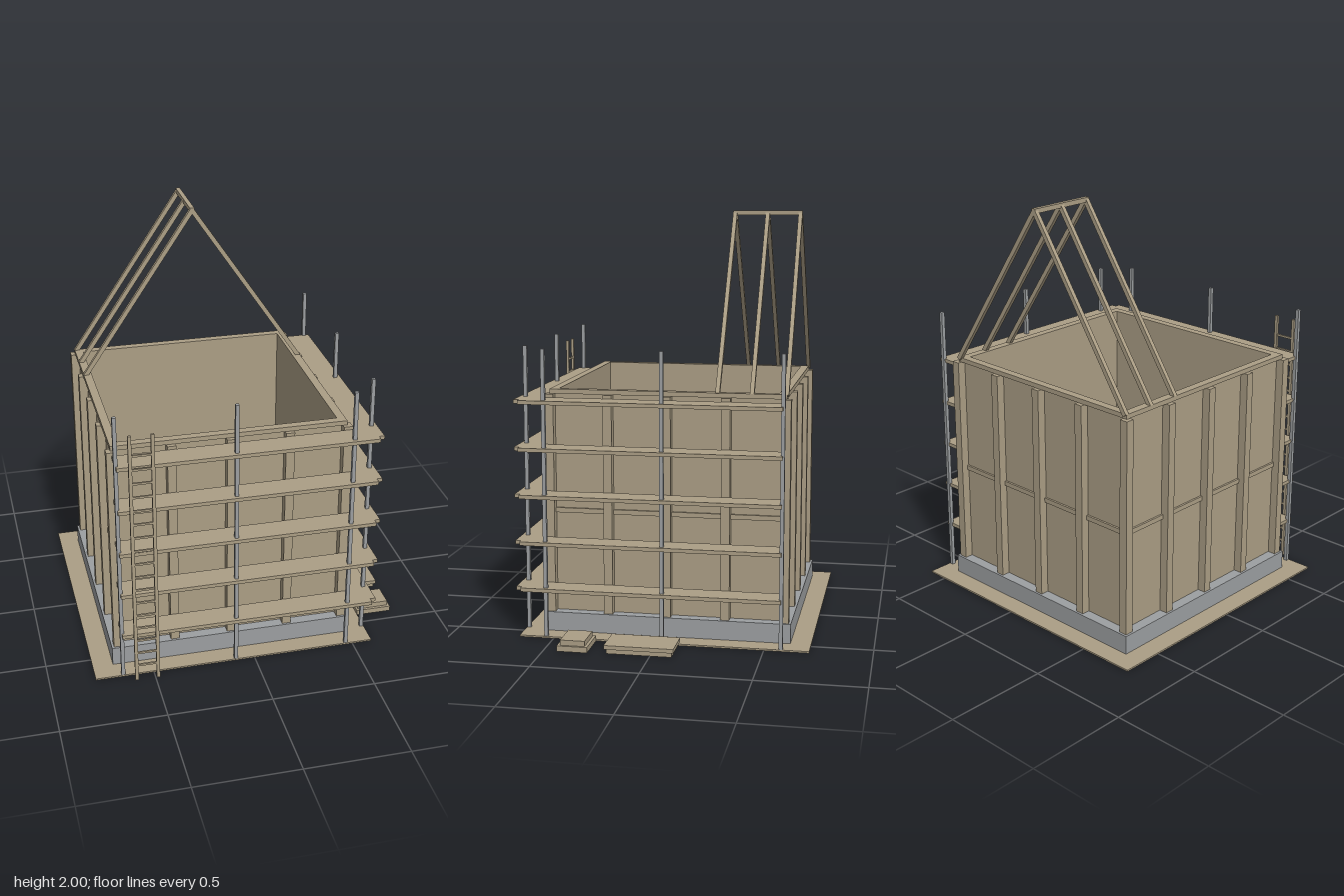
import * as THREE from 'three';

const timber = new THREE.MeshStandardMaterial({ color: 0xab9e85 });
timber.name = 'timber';
const metal = new THREE.MeshStandardMaterial({ color: 0x9c9fa1 });
metal.name = 'concrete and steel grey';

// Centre of the house plan
const CX = -0.092, CZ = -0.022;

function part(parent, name) {
  const g = new THREE.Group();
  g.name = name;
  parent.add(g);
  return g;
}

// Box given by its lower and upper limits on each axis
function box(parent, name, mat, x0, x1, y0, y1, z0, z1) {
  const m = new THREE.Mesh(new THREE.BoxGeometry(x1 - x0, y1 - y0, z1 - z0), mat);
  m.position.set((x0 + x1) / 2, (y0 + y1) / 2, (z0 + z1) / 2);
  m.name = name;
  parent.add(m);
  return m;
}

// Square ring around the house centre, from half-size 'inner' to 'outer'
function ring(parent, name, mat, outer, inner, y0, y1) {
  const square = (P, h) => new P([[-h, -h], [h, -h], [h, h], [-h, h]].map(p => new THREE.Vector2(...p)));
  const shape = square(THREE.Shape, outer);
  shape.holes.push(square(THREE.Path, inner));
  const geo = new THREE.ExtrudeGeometry(shape, { depth: y1 - y0, bevelEnabled: false });
  geo.rotateX(-Math.PI / 2);
  const m = new THREE.Mesh(geo, mat);
  m.position.set(CX, y0, CZ);
  m.name = name;
  parent.add(m);
}

export function createModel() {
  const model = new THREE.Group();
  model.name = 'houseUnderConstruction';

  // Ground slab and foundation
  box(model, 'groundSlab', timber, CX - 0.69, CX + 0.69, 0, 0.008, CZ - 0.688, CZ + 0.688);
  ring(model, 'foundation', metal, 0.592, 0.52, 0.002, 0.1);

  // Walls: thin panels, mid rail, top plate and studs
  const walls = part(model, 'walls');
  ring(walls, 'wallPanels', timber, 0.54, 0.52, 0.1, 1.153);
  ring(walls, 'midRail', timber, 0.55, 0.535, 0.58, 0.603);
  ring(walls, 'topPlate', timber, 0.56, 0.52, 1.153, 1.175);
  const S = 0.021;
  for (let i = -2; i <= 2; i++) {
    for (let j = -2; j <= 2; j++) {
      if (Math.abs(i) < 2 && Math.abs(j) < 2) continue;
      const x = CX + i * 0.28, z = CZ + j * 0.28;
      box(walls, 'stud', timber, x - S, x + S, 0.1, 1.153, z - S, z + S);
    }
  }

  // Rafter pairs and ridge beam
  const roof = part(model, 'roofFrame');
  const run = 0.55, rise = 0.815;
  for (const z of [-0.58, -0.42, -0.26]) {
    for (const s of [-1, 1]) {
      const r = new THREE.Mesh(new THREE.BoxGeometry(0.022, Math.hypot(run, rise) + 0.01, 0.02), timber);
      r.position.set(CX + s * run / 2, 1.173 + rise / 2, z);
      r.rotation.z = s * Math.atan2(run, rise);
      r.name = 'rafter';
      roof.add(r);
    }
  }
  box(roof, 'ridgeBeam', timber, CX - 0.011, CX + 0.011, 1.978, 2, -0.59, -0.25);

  // Scaffold: decks on the front and left sides, with upright poles
  const scaffold = part(model, 'scaffold');
  for (let i = 0; i < 5; i++) {
    const y = 0.225 + i * 0.2235;
    box(scaffold, 'frontDeck', timber, -0.648, 0.585, y, y + 0.018, 0.558, 0.682);
    box(scaffold, 'sideDeck', timber, 0.488, 0.612, y, y + 0.018, -0.578, 0.655);
  }
  const poles = [[-0.648, 0.655], [CX, 0.655], [0.466, 0.655], [0.586, 0.537], [0.586, -0.02], [0.586, -0.578]];
  for (const [x, z] of poles) {
    box(scaffold, 'pole', metal, x - 0.009, x + 0.009, 0, 1.377, z - 0.009, z + 0.009);
  }

  // Ladder at the front
  const ladder = part(model, 'ladder');
  for (const x of [-0.59, -0.486]) {
    box(ladder, 'ladderRail', timber, x - 0.008, x + 0.008, 0, 1.302, 0.696, 0.709);
  }
  for (let i = 0; i < 17; i++) {
    const y = 0.082 + i * 0.07;
    box(ladder, 'rung', timber, -0.583, -0.493, y - 0.005, y + 0.005, 0.698, 0.707);
  }

  // Lumber stacks beside the scaffold
  const lumber = part(model, 'lumberStacks');
  box(lumber, 'longStackLower', timber, 0.6, 0.768, 0, 0.021, -0.1, 0.205);
  box(lumber, 'longStackUpper', timber, 0.6, 0.777, 0.022, 0.041, -0.11, 0.215);
  box(lumber, 'shortStackLower', timber, 0.6, 0.777, 0, 0.026, 0.293, 0.437);
  box(lumber, 'shortStackUpper', timber, 0.61, 0.765, 0.026, 0.051, 0.307, 0.423);

  return model;
}
